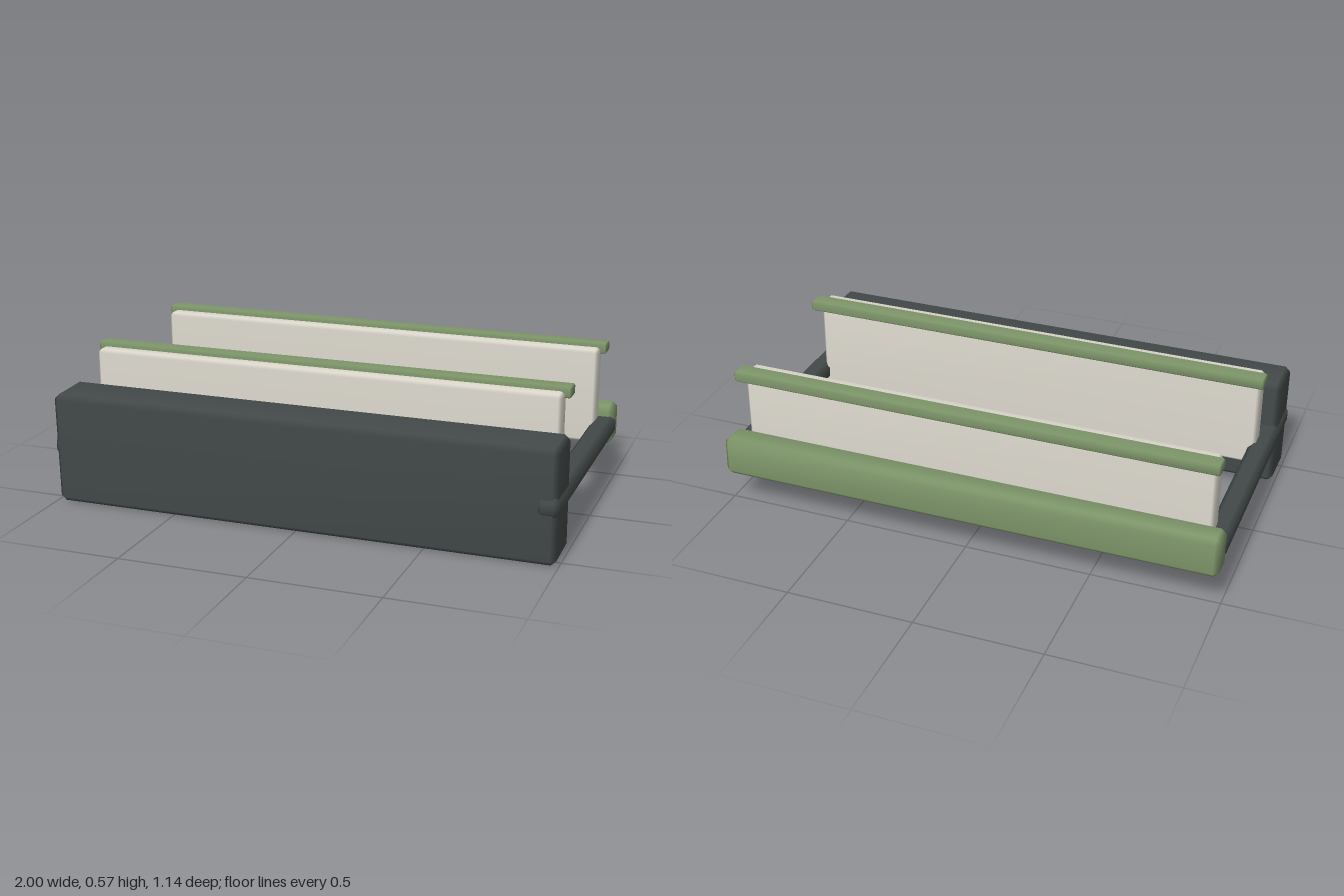
import * as THREE from 'three';
import { mergeVertices } from 'three/addons/utils/BufferGeometryUtils.js';
import { ConvexGeometry } from 'three/addons/geometries/ConvexGeometry.js';

const DARK = new THREE.MeshStandardMaterial({ color: 0x434a49 });
const GREEN = new THREE.MeshStandardMaterial({ color: 0x7e966a });
const CREAM = new THREE.MeshStandardMaterial({ color: 0xdedacf });

// Box with chamfered edges and smooth normals, given as [min, max] per axis
function bar(name, material, [x0, x1], [y0, y1], [z0, z1], chamfer, tilt = 0) {
  const half = [(x1 - x0) / 2, (y1 - y0) / 2, (z1 - z0) / 2];
  const points = [];
  for (const sx of [-1, 1]) for (const sy of [-1, 1]) for (const sz of [-1, 1]) {
    for (let axis = 0; axis < 3; axis++) {
      const [x, y, z] = half.map((h, i) => (i === axis ? h : h - chamfer));
      points.push(new THREE.Vector3(sx * x, sy * y, sz * z));
    }
  }
  let geometry = new ConvexGeometry(points);
  geometry.deleteAttribute('normal');
  geometry = mergeVertices(geometry);
  geometry.computeVertexNormals();
  const mesh = new THREE.Mesh(geometry, material);
  mesh.name = name;
  mesh.position.set((x0 + x1) / 2, (y0 + y1) / 2, (z0 + z1) / 2);
  mesh.rotation.x = tilt;
  return mesh;
}

export function createModel() {
  const model = new THREE.Group();
  model.name = 'slattedFrame';

  // Deep front beam and shallow rear beam, both tipped slightly
  model.add(bar('frontBeam', DARK, [-0.99, 0.99], [0.005, 0.443], [0.357, 0.561], 0.02, 0.03));
  model.add(bar('rearBeam', GREEN, [-0.995, 0.99], [0.146, 0.304], [-0.563, -0.447], 0.02, 0.045));

  // Side rails joining the beams
  model.add(bar('leftRail', DARK, [0.912, 0.998], [0.186, 0.265], [-0.49, 0.57], 0.02, -0.004));
  model.add(bar('rightRail', DARK, [-0.998, -0.912], [0.186, 0.265], [-0.49, 0.556], 0.02, -0.004));

  // Two upright panels, each with a narrow cap along its rear top edge
  for (const [name, z] of [['front', 0.244], ['rear', -0.408]]) {
    model.add(bar(name + 'Panel', CREAM, [-0.94, 0.932], [0.174, 0.555], [z - 0.041, z + 0.041], 0.012, 0.01));
    model.add(bar(name + 'Cap', GREEN, [-0.96, 0.955], [0.53, 0.572], [z - 0.082, z - 0.013], 0.006));
  }
  return model;
}
